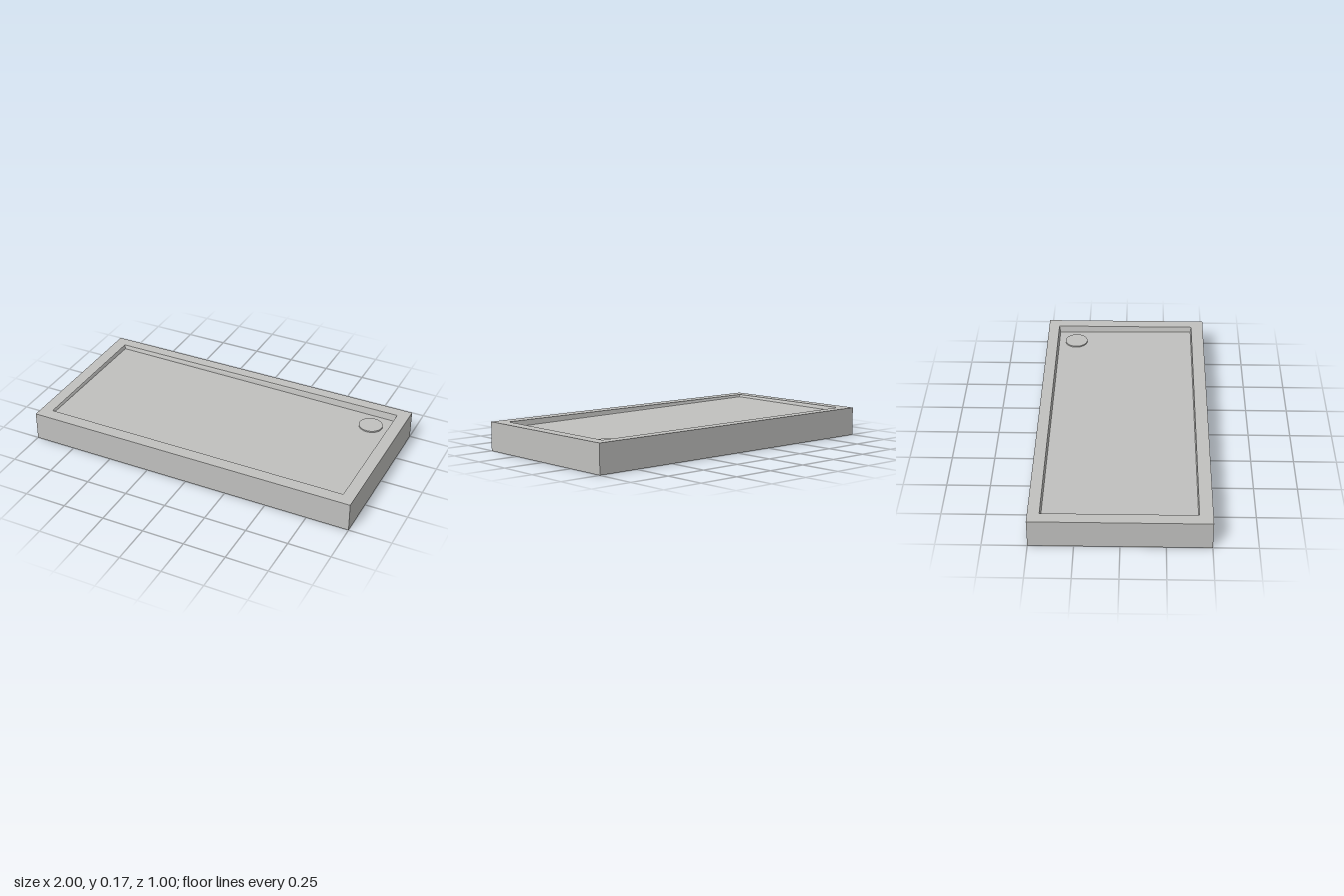
import * as THREE from 'three';

// Corner loop of four points: back-left, front-left, front-right, back-right (seen from above)
const loop = (x, zBack, zFront, ys) => [
  [-x, ys[0], zBack], [-x, ys[1], zFront], [x, ys[2], zFront], [x, ys[3], zBack],
];

// Flat-shaded surface from a list of quads
function quads(list) {
  const pos = [];
  for (const [a, b, c, d] of list) pos.push(...a, ...b, ...c, ...a, ...c, ...d);
  const g = new THREE.BufferGeometry();
  g.setAttribute('position', new THREE.Float32BufferAttribute(pos, 3));
  g.computeVertexNormals();
  return g;
}

// Band of four quads joining an outer loop to an inner loop
const band = (outer, inner) => outer.map((p, i) => {
  const j = (i + 1) % 4;
  return [p, outer[j], inner[j], inner[i]];
});

export function createModel() {
  const tray = new THREE.Group();
  tray.name = 'showerTray';

  const enamel = new THREE.MeshStandardMaterial({ color: 0xc0c0be, side: THREE.DoubleSide });
  enamel.name = 'grey enamel';

  const add = (name, geometry) => {
    const mesh = new THREE.Mesh(geometry, enamel);
    mesh.name = name;
    tray.add(mesh);
    return mesh;
  };

  const H = 0.17;
  const flat = (y) => [y, y, y, y];
  const foot = loop(1, -0.5, 0.5, flat(0));
  const edge = loop(1, -0.5, 0.5, flat(H));
  const lip = loop(0.93, -0.434, 0.425, flat(H));
  // The floor falls gently towards the drain corner
  const basin = loop(0.923, -0.427, 0.42, [0.147, 0.156, 0.137, 0.128]);

  add('outerSkirt', quads(band(foot, edge)));
  add('rim', quads(band(edge, lip)));
  add('recessWall', quads(band(lip, basin)));
  add('floor', quads([basin]));

  // Round drain cover, standing slightly proud of the floor
  const drain = add('drainCover', new THREE.CylinderGeometry(0.07, 0.07, 0.014, 48));
  drain.position.set(0.81, 0.132, -0.317);

  return tray;
}
